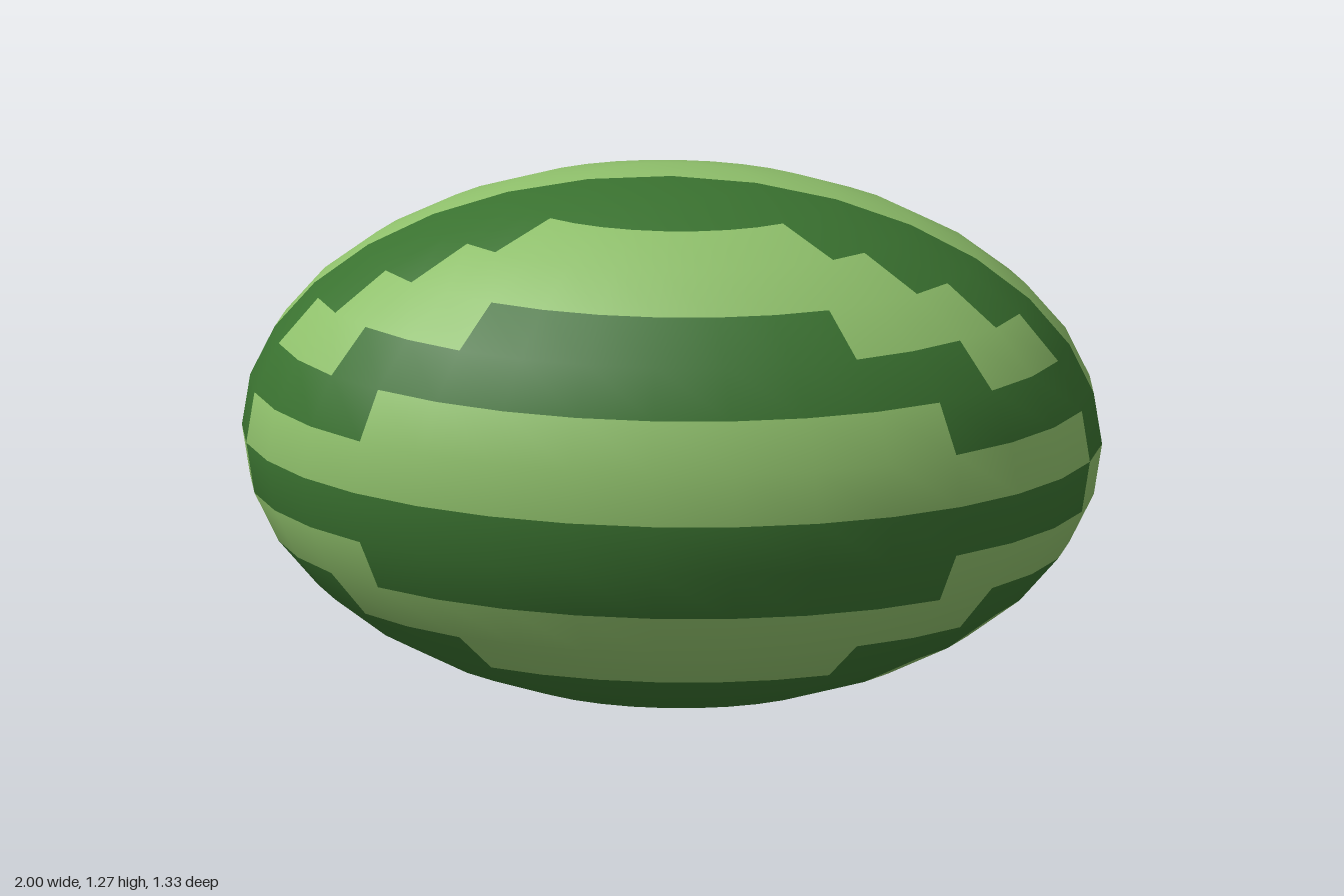
import * as THREE from 'three';

const COLS = 32, ROWS = 16;
const RX = 1, RY = 0.633, RZ = 0.666;

export function createModel() {
  const group = new THREE.Group();
  group.name = 'watermelon';

  const lightRind = new THREE.MeshStandardMaterial({ color: 0x8fc06b });
  lightRind.name = 'light green rind';
  const darkRind = new THREE.MeshStandardMaterial({ color: 0x3a7230 });
  darkRind.name = 'dark green stripe';

  // Smooth ellipsoid lying along x
  const body = new THREE.SphereGeometry(1, COLS, ROWS);
  body.scale(RX, RY, RZ);
  body.translate(0, RY, 0);

  // Sort each face into one of 16 stripes running around the long axis
  const faces = [[], []];
  for (let r = 0; r < ROWS; r++) {
    for (let c = 0; c < COLS; c++) {
      const theta = ((r + 0.5) / ROWS) * Math.PI;
      const phi = ((c + 0.5) / COLS) * Math.PI * 2;
      const angle = Math.atan2(RY * Math.cos(theta), RZ * Math.sin(theta) * Math.sin(phi));
      const list = faces[Math.sin(angle * 8) > 0 ? 0 : 1];
      const b = r * (COLS + 1) + c, a = b + 1;
      const d = a + COLS + 1, e = b + COLS + 1;
      if (r > 0) list.push(a, b, d);
      if (r < ROWS - 1) list.push(b, e, d);
    }
  }

  // One mesh per colour, sharing the body's vertices and normals
  [['lightStripes', lightRind], ['darkStripes', darkRind]].forEach(([name, material], i) => {
    const geometry = body.clone();
    geometry.setIndex(faces[i]);
    const mesh = new THREE.Mesh(geometry, material);
    mesh.name = name;
    group.add(mesh);
  });

  return group;
}
